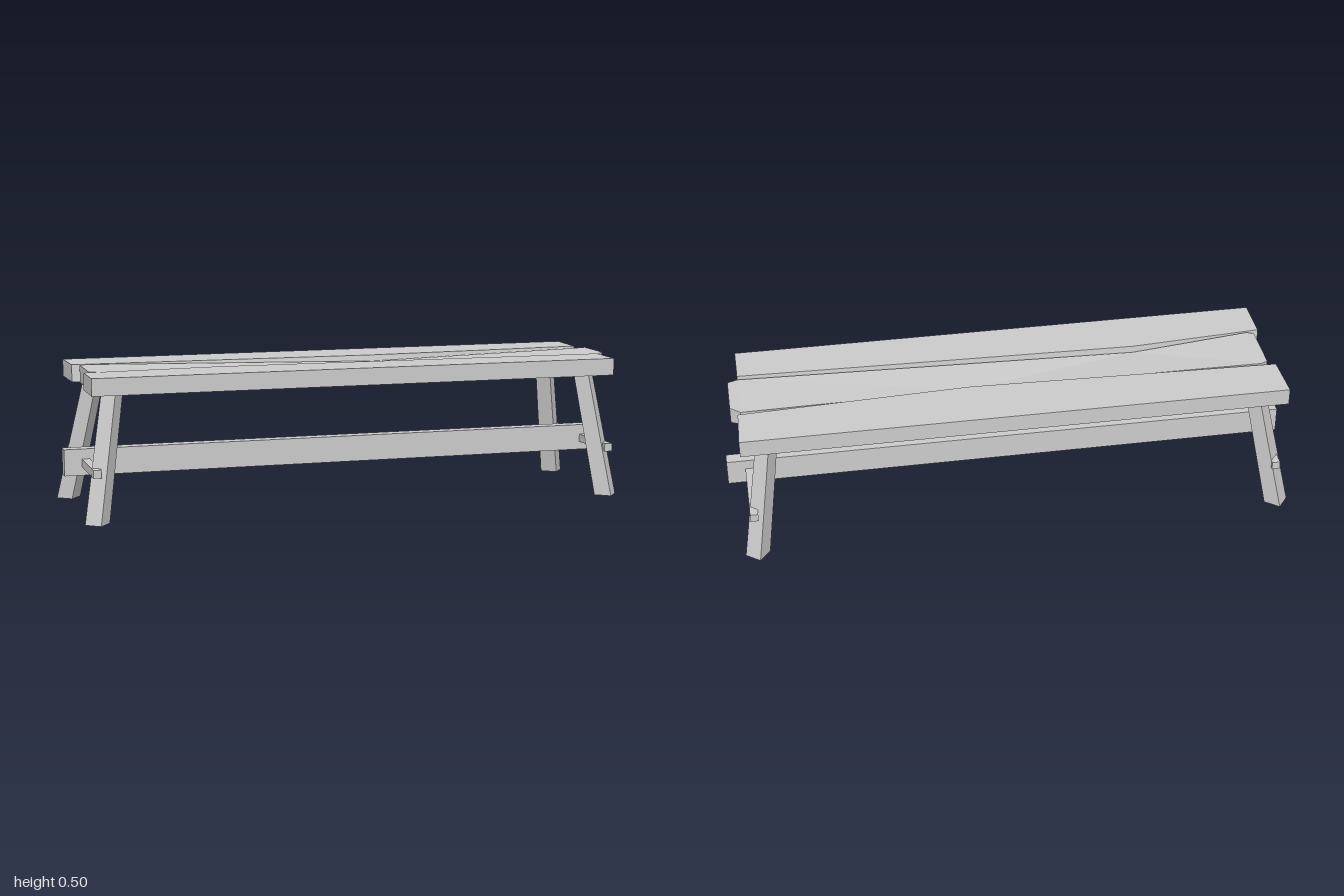
import * as THREE from 'three';

const material = new THREE.MeshStandardMaterial({ color: 0xcccccc, flatShading: true, side: THREE.DoubleSide });

// Solid through a row of four-cornered rings, closed at both ends.
function loft(rings) {
  const pos = [];
  const quad = (a, b, c, d) => pos.push(...a, ...b, ...c, ...a, ...c, ...d);
  for (let i = 0; i < rings.length - 1; i++) {
    const r = rings[i], s = rings[i + 1];
    for (let j = 0; j < 4; j++) {
      const k = (j + 1) % 4;
      quad(r[j], r[k], s[k], s[j]);
    }
  }
  const [a, b, c, d] = rings[0];
  quad(d, c, b, a);
  quad(...rings[rings.length - 1]);
  const geometry = new THREE.BufferGeometry();
  geometry.setAttribute('position', new THREE.Float32BufferAttribute(pos, 3));
  geometry.computeVertexNormals();
  return geometry;
}

// Ring across a plank: separate x, and top/bottom z, for its back and front edges.
function ring(xBack, xFront, bottom, top, zBackBottom, zBackTop, zFrontTop, zFrontBottom) {
  return [
    [xBack, bottom, zBackBottom],
    [xBack, top, zBackTop],
    [xFront, top, zFrontTop],
    [xFront, bottom, zFrontBottom],
  ];
}

export function createModel() {
  const bench = new THREE.Group();
  bench.name = 'bench';
  const add = (name, geometry, x = 0, y = 0, z = 0) => {
    const mesh = new THREE.Mesh(geometry, material);
    mesh.name = name;
    mesh.position.set(x, y, z);
    bench.add(mesh);
  };
  const low = 0.435, high = 0.495;

  // Outer planks, each with a bent, slightly sloping inner edge
  add('backPlank', loft([
    ring(-0.95, -0.945, low, high, -0.272, -0.272, -0.108, -0.1),
    ring(0.14, 0.14, low, high, -0.272, -0.272, -0.072, -0.058),
    ring(0.95, 0.945, low, high, -0.272, -0.272, -0.11, -0.1),
  ]));
  add('frontPlank', loft([
    ring(-0.94, -0.94, low, high, 0.112, 0.118, 0.272, 0.272),
    ring(-0.47, -0.47, low, high, 0.078, 0.085, 0.272, 0.272),
    ring(0.935, 0.935, low, high, 0.118, 0.124, 0.272, 0.272),
  ]));

  // Middle plank, sagging and narrowed at two staggered bends
  add('middlePlank', loft([
    ring(-0.92, -0.92, low, high, -0.085, -0.085, 0.095, 0.095),
    ring(-0.895, -0.895, low, high, -0.097, -0.097, 0.107, 0.107),
    ring(0.14, -0.47, 0.41, 0.475, -0.03, -0.058, 0.077, 0.06),
    ring(0.935, 0.935, 0.44, 0.49, -0.09, -0.09, 0.11, 0.11),
    ring(0.97, 0.97, low, high, -0.066, -0.066, 0.09, 0.09),
  ]));

  // Splayed legs of diamond section
  const diamond = (x, y, z, r) => [0, 1, 2, 3].map((i) => {
    const t = (i * Math.PI) / 2 + 0.12;
    return [x + r * Math.sin(t), y, z + r * Math.cos(t)];
  });
  const feet = {
    frontLeftLeg: [0.92, 0.25], backLeftLeg: [0.92, -0.252],
    frontRightLeg: [-0.925, 0.25], backRightLeg: [-0.942, -0.252],
  };
  for (const [name, [x, z]] of Object.entries(feet)) {
    const top = diamond(Math.sign(x) * 0.855, 0.44, Math.sign(z) * 0.18, 0.038);
    add(name, loft([diamond(x, 0, z, 0.043), top]));
  }

  // Cross bars through the legs and the long stretcher resting through them
  for (const [name, x] of [['leftCrossBar', 0.922], ['rightCrossBar', -0.925]]) {
    add(name, new THREE.BoxGeometry(0.028, 0.028, 0.543), x, 0.173, -0.003);
  }
  add('stretcher', new THREE.BoxGeometry(2, 0.092, 0.046), 0, 0.176, 0.018);

  return bench;
}
